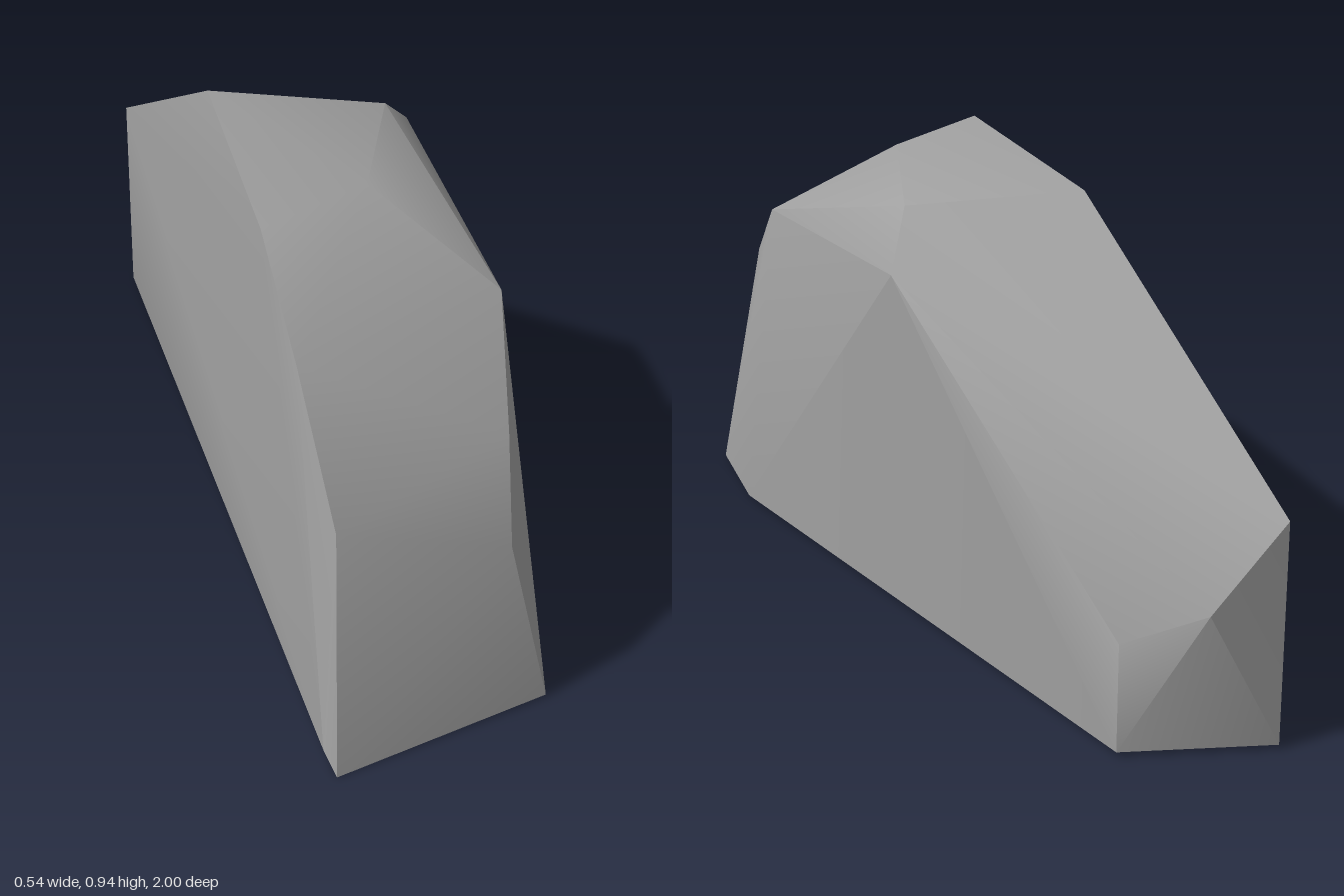
import * as THREE from 'three';
import { ConvexGeometry } from 'three/addons/geometries/ConvexGeometry.js';
import { toCreasedNormals } from 'three/addons/utils/BufferGeometryUtils.js';

const toPoints = (list) => list.map((p) => new THREE.Vector3(...p));

export function createModel() {
  const stone = new THREE.MeshStandardMaterial({ color: 0xa0a0a0 });
  stone.name = 'stone grey';

  // rim of the nearly flat right-hand (-x) side, front to back
  const rightRim = [
    [-0.25, 0, 1], [-0.27, 0.05, 0.97], [-0.22, 0.5, 0.88], [-0.255, 0.79, 0.72],
    [-0.255, 0.94, 0.44], [-0.22, 0.94, -0.18], [-0.25, 0.5, -1], [-0.25, 0.01, -1],
  ];

  // rim of the left-hand (+x) side, front to back
  const leftRim = [
    [0.27, 0.01, 0.6], [0.23, 0.005, 0.87], [0.15, 0.38, 0.85], [0.17, 0.58, 0.75],
    [0.23, 0.76, 0.5], [0.23, 0.815, -0.18], [0.06, 0.25, -0.89], [0.06, 0.01, -0.89],
  ];

  // chipped corners of the top and the back
  const chips = [[0, 0.937, 0.31], [0.145, 0.92, -0.06], [-0.08, 0.33, -1]];

  // faceted boulder with softened shallow edges
  const hull = new ConvexGeometry(toPoints([...rightRim, ...leftRim, ...chips]));
  const boulder = new THREE.Mesh(toCreasedNormals(hull, THREE.MathUtils.degToRad(38)), stone);
  boulder.name = 'boulder';

  const group = new THREE.Group();
  group.name = 'rock';
  group.add(boulder);
  return group;
}
